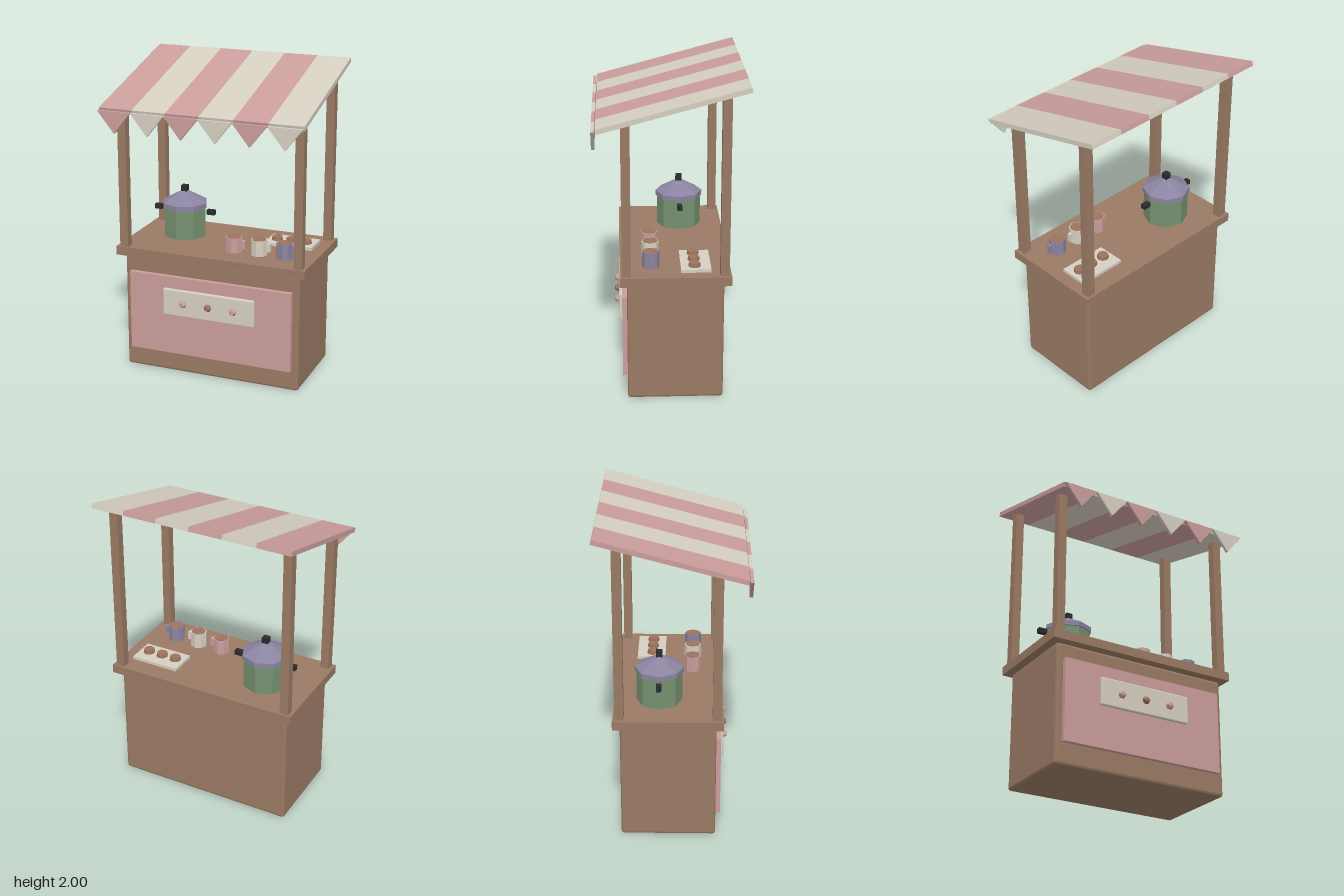
import * as THREE from 'three';
import { RoundedBoxGeometry } from 'three/addons/geometries/RoundedBoxGeometry.js';

const mat = (name, color) => {
  const m = new THREE.MeshStandardMaterial({ color, flatShading: true });
  m.name = name;
  return m;
};

export function createModel() {
  const root = new THREE.Group();
  root.name = 'foodStall';
  const wood = mat('wood', 0x9a7a64);
  const pink = mat('dustyPink', 0xca9d9c);
  const cream = mat('cream', 0xd5cec1);
  const green = mat('potGreen', 0x75916f);
  const purple = mat('lidPurple', 0x8b84a0);
  const black = mat('handleBlack', 0x2b2b2d);
  const brown = mat('bakedBrown', 0x9c735c);

  const add = (name, geo, material, x, y, z, parent = root) => {
    const mesh = new THREE.Mesh(geo, material);
    mesh.name = name;
    mesh.position.set(x, y, z);
    parent.add(mesh);
    return mesh;
  };
  const group = (name, x, y, z, parent = root) => {
    const g = new THREE.Group();
    g.name = name;
    g.position.set(x, y, z);
    parent.add(g);
    return g;
  };
  const box = (w, h, d) => new THREE.BoxGeometry(w, h, d);
  const cyl = (rTop, rBottom, h, sides = 8) => new THREE.CylinderGeometry(rTop, rBottom, h, sides);

  // Cabinet, counter and front panel
  add('cabinet', new RoundedBoxGeometry(1.18, 0.765, 0.59, 1, 0.016), wood, 0, 0.3825, -0.027);
  add('counter', box(1.27, 0.057, 0.676), wood, 0, 0.797, -0.027);
  add('frontPanel', box(1.095, 0.525, 0.035), pink, 0, 0.4, 0.28);
  add('signBoard', new RoundedBoxGeometry(0.62, 0.18, 0.025, 1, 0.008), cream, 0, 0.495, 0.304);
  [-0.17, 0, 0.17].forEach((x, i) =>
    add('signStud', new THREE.IcosahedronGeometry(0.027, 0), i === 1 ? brown : pink, x, 0.495, 0.319));

  // Posts, taller at the back
  for (const x of [-0.585, 0.585]) {
    for (const [name, z, top] of [['frontPost', 0.27, 1.785], ['backPost', -0.323, 1.942]]) {
      add(name, box(0.055, top - 0.82, 0.055), wood, x, (top + 0.82) / 2, z);
    }
  }

  // Sloping striped awning with a pennant under each stripe
  const awning = group('awning', 0, 1.865, -0.01);
  awning.rotation.x = Math.PI / 12;
  const flag = new THREE.Shape();
  flag.moveTo(-0.11, 0);
  flag.lineTo(0, -0.137);
  flag.lineTo(0.11, 0);
  flag.closePath();
  const flagGeo = new THREE.ExtrudeGeometry(flag, { depth: 0.02, bevelEnabled: false });
  for (let i = 0; i < 6; i++) {
    const x = -0.55 + i * 0.22;
    const color = i % 2 ? cream : pink;
    add('awningStripe', box(0.22, 0.03, 0.93), color, x, 0, 0, awning);
    add('pennant', flagGeo, color, x, 1.746, 0.447);
  }

  // Cooking pot with lid, knob and side handles
  const pot = group('pot', -0.325, 0.825, -0.085);
  add('potBody', cyl(0.143, 0.143, 0.197), green, 0, 0.0985, 0, pot);
  add('lidRim', cyl(0.152, 0.152, 0.032), purple, 0, 0.21, 0, pot);
  add('lidCone', cyl(0.022, 0.15, 0.072), purple, 0, 0.262, 0, pot);
  add('lidKnob', box(0.04, 0.04, 0.04), black, 0, 0.315, 0, pot);
  for (const s of [-1, 1]) add('potHandle', box(0.052, 0.032, 0.032), black, s * 0.185, 0.17, 0, pot);

  // Mugs filled to the brim
  [pink, cream, purple].forEach((color, i) => {
    const mug = group('mug', 0.1 + i * 0.17, 0.825, 0.12);
    add('mugBody', cyl(0.054, 0.054, 0.1), color, 0, 0.05, 0, mug);
    add('mugDrink', cyl(0.047, 0.047, 0.004), brown, 0, 0.101, 0, mug);
    add('mugHandle', box(0.03, 0.055, 0.02), color, 0.062, 0.053, 0, mug);
  });

  // Serving tray with three buns
  const tray = group('tray', 0.395, 0.825, -0.153);
  add('trayPlate', box(0.32, 0.02, 0.184), cream, 0, 0.01, 0, tray);
  for (let i = -1; i <= 1; i++) add('bun', cyl(0.034, 0.038, 0.024), brown, i * 0.098, 0.032, 0.008, tray);

  return root;
}
